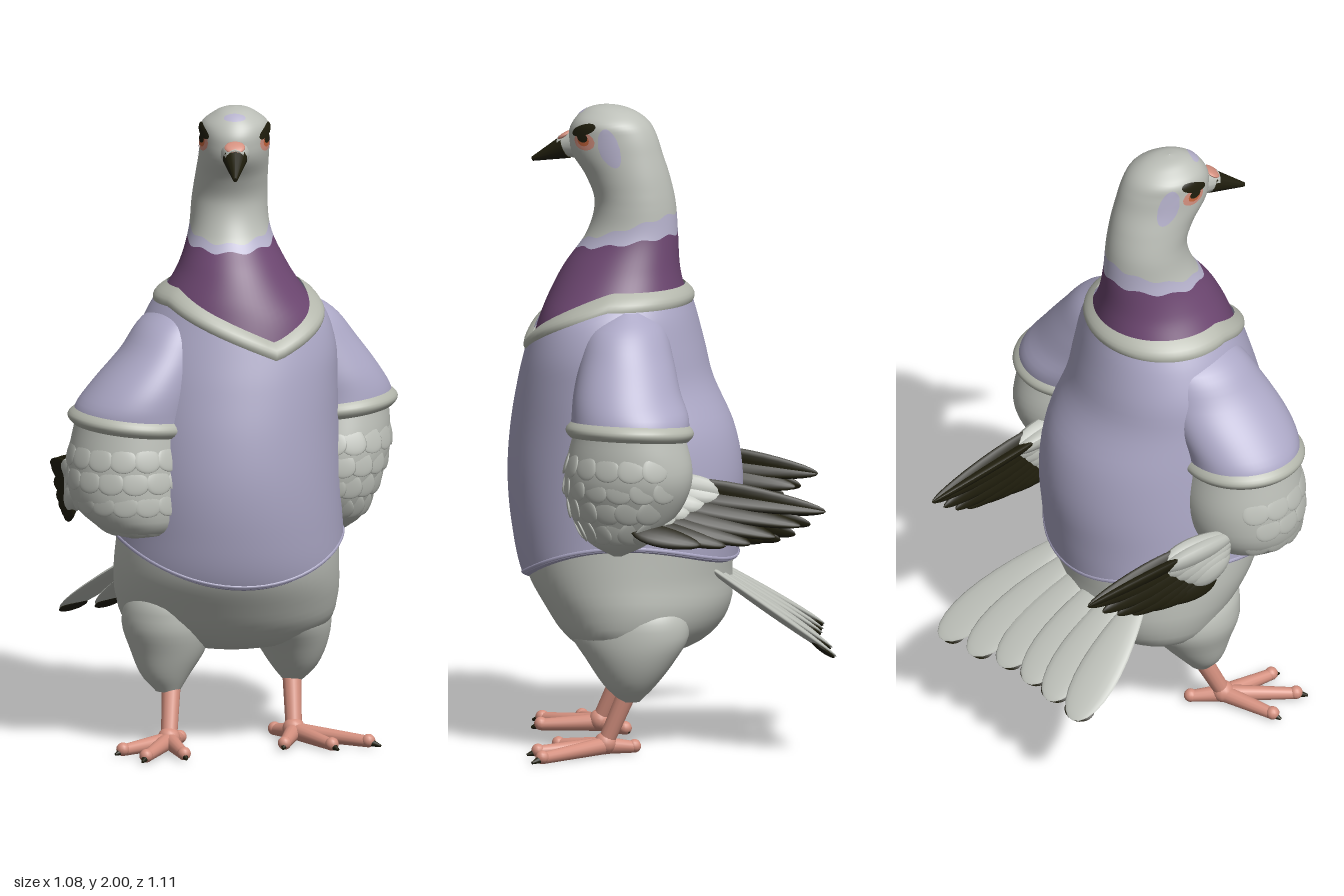
import * as THREE from 'three';

const mat = (name, color, side = THREE.FrontSide) => {
  const m = new THREE.MeshStandardMaterial({ color, side });
  m.name = name;
  return m;
};
const GREY = mat('pale grey feathers', 0xbcbfb8);
const SHIRT = mat('lavender cloth', 0xaca8c6, THREE.DoubleSide);
const TRIM = mat('grey trim', 0xb3b6ab, THREE.DoubleSide);
const PURPLE = mat('purple neck', 0x6c4670);
const BAND = mat('lavender feathers', 0xb5b1cb);
const DARK = mat('dark feathers', 0x201e0d);
const PINK = mat('pink skin', 0xd4907f);
const EYE = mat('orange eye', 0xc8653c);

const V = (a) => new THREE.Vector3(...a);
const mix = (a, b, t) => a.map((v, i) => v + (b[i] - v) * t);
const named = (o, name) => { o.name = name; return o; };
const at = (y) => () => y;

// Smooth surface through level rings [y, xMin, xMax, zMin, zMax]; angle 0 is +z
function surface(rings) {
  const slope = (i, k) => {
    const a = rings[Math.max(i - 1, 0)], b = rings[Math.min(i + 1, rings.length - 1)];
    return (b[k] - a[k]) / (b[0] - a[0]);
  };
  return (ang, y, off = 0) => {
    let i = 0;
    while (i < rings.length - 2 && y > rings[i + 1][0]) i++;
    const a = rings[i], b = rings[i + 1], h = b[0] - a[0];
    const t = THREE.MathUtils.clamp((y - a[0]) / h, 0, 1);
    const [x0, x1, z0, z1] = [1, 2, 3, 4].map((k) => {
      const v = (2 * t ** 3 - 3 * t * t + 1) * a[k] + (t ** 3 - 2 * t * t + t) * h * slope(i, k)
        + (3 * t * t - 2 * t ** 3) * b[k] + (t ** 3 - t * t) * h * slope(i + 1, k);
      return THREE.MathUtils.clamp(v, Math.min(a[k], b[k]), Math.max(a[k], b[k]));
    });
    return [(x0 + x1) / 2 + ((x1 - x0) / 2 + off) * Math.sin(ang), y,
      (z0 + z1) / 2 + ((z1 - z0) / 2 + off) * Math.cos(ang)];
  };
}

// Piece of a surface between two height functions, full circle unless a range is given
function panel(name, material, surf, lo, hi, off = () => 0, rows = 24, range = null) {
  const n = range ? 20 : 72, cols = range ? n + 1 : n, pos = [], idx = [];
  const [a0, a1] = range ?? [-Math.PI, Math.PI];
  for (let j = 0; j <= rows; j++) for (let i = 0; i < cols; i++) {
    const ang = a0 + (a1 - a0) * i / n, t = (1 - Math.cos(Math.PI * j / rows)) / 2;
    pos.push(...surf(ang, lo(ang) + (hi(ang) - lo(ang)) * t, off(t)));
  }
  for (let j = 0; j < rows; j++) for (let i = 0; i < n; i++) {
    const a = j * cols + i, b = j * cols + (i + 1) % cols;
    idx.push(a, b, b + cols, a, b + cols, a + cols);
  }
  const g = new THREE.BufferGeometry();
  g.setAttribute('position', new THREE.Float32BufferAttribute(pos, 3));
  g.setIndex(idx);
  g.computeVertexNormals();
  return named(new THREE.Mesh(g, material), name);
}
const bulge = (base, height) => (t) => base + height * Math.sin(Math.PI * t);

// Oval patch lying on a surface, optionally tilted
function patch(name, material, surf, ang, y, da, dy, off, tilt = 0) {
  const h = (a) => dy * Math.sqrt(Math.max(0, 1 - ((a - ang) / da) ** 2));
  const mid = (a) => y + tilt * (a - ang);
  return panel(name, material, surf, (a) => mid(a) - h(a), (a) => mid(a) + h(a), at(off), 8, [ang - da, ang + da]);
}

// Tapered round limb between two points
function limb(name, material, a, b, ra, rb) {
  const p = V(a), d = V(b).sub(p);
  const m = new THREE.Mesh(new THREE.CylinderGeometry(rb, ra, d.length(), 14), material);
  m.position.copy(p).addScaledVector(d, 0.5);
  m.quaternion.setFromUnitVectors(new THREE.Vector3(0, 1, 0), d.normalize());
  return named(m, name);
}

// Flat feather; skew above 0 widens it towards the tip
function feather(name, material, a, b, width, thick, across, skew) {
  const g = new THREE.SphereGeometry(1, 16, 14), p = g.attributes.position;
  for (let i = 0; i < p.count; i++) p.setX(i, p.getX(i) * (1 + skew * p.getY(i)));
  const start = V(a), y = V(b).sub(start), len = y.length();
  y.normalize();
  const z = V(across).cross(y).normalize(), x = y.clone().cross(z);
  g.scale(width, len / 2, thick);
  g.computeVertexNormals();
  const m = new THREE.Mesh(g, material);
  m.quaternion.setFromRotationMatrix(new THREE.Matrix4().makeBasis(x, y, z));
  m.position.copy(start.addScaledVector(y, len / 2));
  return named(m, name);
}

export function createModel() {
  const model = named(new THREE.Group(), 'pigeon in shirt');
  const body = surface([
    [0.28, 0.02, 0.05, 0.1, 0.13], [0.305, -0.17, 0.21, -0.03, 0.24], [0.36, -0.29, 0.32, -0.12, 0.32],
    [0.45, -0.33, 0.355, -0.17, 0.39], [0.55, -0.335, 0.36, -0.175, 0.45], [0.7, -0.32, 0.355, -0.19, 0.485],
    [0.85, -0.31, 0.35, -0.2, 0.498], [1.0, -0.295, 0.345, -0.175, 0.487], [1.15, -0.275, 0.34, -0.105, 0.457],
    [1.25, -0.26, 0.335, -0.08, 0.43], [1.35, -0.22, 0.305, -0.058, 0.4], [1.42, -0.18, 0.253, -0.04, 0.375],
    [1.5, -0.135, 0.2, -0.025, 0.335], [1.6, -0.105, 0.15, -0.018, 0.268], [1.7, -0.095, 0.138, -0.01, 0.242],
    [1.78, -0.083, 0.14, 0.005, 0.27], [1.85, -0.072, 0.144, 0.025, 0.315], [1.91, -0.068, 0.145, 0.045, 0.322],
    [1.95, -0.062, 0.14, 0.07, 0.305], [1.98, -0.025, 0.105, 0.11, 0.275], [1.995, 0.005, 0.075, 0.155, 0.24],
    [2.0, 0.039, 0.041, 0.199, 0.201]]);

  // Edges of the shirt and of the neck colours
  const hem = (a) => 0.61 - 0.03 * Math.cos(a - 0.2) - 0.05 * Math.cos(2 * (a - 0.2));
  const collar = (a) => {
    const d = Math.abs(Math.atan2(Math.sin(a - 0.45), Math.cos(a - 0.45)));
    return 1.43 - 0.15 * Math.max(0, 1 - d / 1.4) ** 1.2;
  };
  const neck = (a) => 1.58 - 0.025 * Math.cos(a) + 0.005 * Math.cos(9 * a);
  const nape = (a) => neck(a) + 0.045 - 0.02 * Math.cos(a);
  model.add(
    panel('belly', GREY, body, at(0.28), (a) => hem(a) + 0.05),
    panel('shirt', SHIRT, body, hem, collar, at(0.016), 40),
    panel('shirtHem', SHIRT, body, (a) => hem(a) - 0.006, (a) => hem(a) + 0.02, bulge(0.002, 0.018), 8),
    panel('collar', TRIM, body, (a) => collar(a) - 0.05, (a) => collar(a) + 0.015, bulge(0.006, 0.02), 10),
    panel('purpleNeck', PURPLE, body, (a) => collar(a) - 0.04, neck),
    panel('neckBand', BAND, body, neck, nape, at(0), 8),
    panel('head', GREY, body, nape, at(2.0), at(0), 48));

  // Face
  model.add(
    limb('beakBase', GREY, [0.04, 1.878, 0.26], [0.042, 1.862, 0.355], 0.06, 0.03),
    limb('beak', DARK, [0.042, 1.86, 0.335], [0.044, 1.815, 0.445], 0.038, 0.007),
    feather('cere', PINK, [0.041, 1.91, 0.315], [0.042, 1.882, 0.36], 0.032, 0.009, [1, 0, 0], 0),
    patch('forehead', BAND, body, 0, 1.978, 0.5, 0.01, 0.002));
  for (const s of [-1, 1]) {
    model.add(
      patch('eyeRing', PINK, body, s * 1.12, 1.897, 0.3, 0.028, 0.003),
      patch('iris', EYE, body, s * 1.12, 1.9, 0.17, 0.018, 0.005),
      patch('pupil', DARK, body, s * 1.12, 1.908, 0.15, 0.014, 0.007),
      patch('brow', DARK, body, s * 1.12, 1.932, 0.36, 0.018, 0.006, s * 0.035),
      patch('cheek', BAND, body, s * 1.72, 1.88, 0.24, 0.06, 0.002));
  }

  // Sleeves, cuffs and folded arms; the right arm sits further forward.
  // Each wing has a long top feather and shorter rows falling to two lower edges.
  const arms = {
    left: {
      sleeve: [[1.0, 0.2, 0.52, -0.17, 0.19], [1.08, 0.17, 0.515, -0.165, 0.19], [1.15, 0.14, 0.48, -0.125, 0.195],
        [1.25, 0.1, 0.41, -0.08, 0.195], [1.34, 0.08, 0.34, -0.035, 0.18], [1.39, 0.14, 0.26, 0.02, 0.11]],
      arm: [[0.65, 0.35, 0.38, 0.03, 0.06], [0.69, 0.28, 0.43, -0.05, 0.14], [0.78, 0.23, 0.475, -0.14, 0.2],
        [0.9, 0.2, 0.515, -0.19, 0.215], [1.05, 0.21, 0.51, -0.16, 0.18]],
      top: [[0.28, 0.86, -0.06], [0.125, 0.785, -0.55]],
      low: [[[0.43, 0.755, -0.02], [0.37, 0.7, -0.23]], [[0.26, 0.75, -0.08], [0.2, 0.7, -0.33]]],
      face: 1.1, out: 1,
    },
    right: {
      sleeve: [[1.0, -0.455, -0.1, 0.15, 0.495], [1.08, -0.45, -0.09, 0.145, 0.495], [1.15, -0.4, -0.07, 0.125, 0.475],
        [1.25, -0.31, -0.04, 0.1, 0.42], [1.34, -0.245, -0.03, 0.09, 0.36], [1.39, -0.16, -0.07, 0.16, 0.29]],
      arm: [[0.67, -0.28, -0.25, 0.32, 0.35], [0.7, -0.36, -0.14, 0.24, 0.46], [0.78, -0.455, -0.095, 0.16, 0.505],
        [0.9, -0.475, -0.09, 0.13, 0.51], [1.05, -0.45, -0.105, 0.15, 0.49]],
      top: [[-0.435, 0.83, 0.15], [-0.53, 0.78, -0.28]],
      low: [[[-0.36, 0.74, 0.19], [-0.34, 0.7, 0.02]], [[-0.455, 0.74, 0.17], [-0.485, 0.695, -0.02]]],
      face: -0.5, out: -1,
    },
  };
  for (const [side, p] of Object.entries(arms)) {
    const g = named(new THREE.Group(), side + 'Arm');
    const sleeve = surface(p.sleeve), arm = surface(p.arm);
    const cuff = (y) => (a) => y + 0.018 * p.out * Math.sin(a);
    g.add(panel('sleeve', SHIRT, sleeve, cuff(1.03), at(1.39), at(0.004)),
      panel('cuff', TRIM, sleeve, cuff(1.015), cuff(1.063), bulge(0.004, 0.016), 10),
      panel('forearm', GREY, arm, at(p.arm[0][0]), at(1.05)));
    // Overlapping scale feathers on the forearm
    for (let r = 0; r < 4; r++) for (let i = -3; i <= 3; i++) {
      const a = p.face + (i + (r % 2) / 2) * 0.4, y = 0.99 - r * 0.07;
      g.add(feather('scale', GREY, arm(a, y, -0.008), arm(a, y - 0.085, 0.004), 0.042, 0.007,
        [Math.cos(a), 0, -Math.sin(a)], 0.2));
    }
    // Dark flight feathers with pale coverts at their root
    for (const [root, tip] of p.low) {
      const across = [root[0] - p.top[0][0], root[1] - p.top[0][1], 0];
      for (let i = 0; i < 6; i++) {
        const a = mix(p.top[0], root, i / 5), b = mix(p.top[1], tip, i / 5);
        b[1] -= 0.04 * Math.sin(Math.PI * i / 5);
        g.add(feather('flightFeather', DARK, a, b, 0.048, 0.018, across, -0.3));
        if (i < 4) g.add(feather('covert', GREY, mix(a, b, -0.2), mix(a, b, 0.4 - i * 0.02), 0.055, 0.036, across, 0.2));
      }
    }
    model.add(g);
  }

  // Tail fan of shingled feathers, dark under the tips
  const tips = [[0.045, 0.32, -0.555], [-0.07, 0.325, -0.5], [-0.165, 0.33, -0.435], [-0.275, 0.33, -0.39],
    [-0.375, 0.325, -0.355], [-0.49, 0.32, -0.315]];
  const tail = named(new THREE.Group(), 'tail');
  tips.forEach((tip, i) => {
    const root = mix([0.06, 0.6, -0.1], [-0.24, 0.57, 0.02], i / 5);
    const across = [0.85, 0.17, -0.4], low = (q) => [q[0], q[1] - 0.008, q[2]];
    tail.add(feather('tailFeather', GREY, root, tip, 0.066, 0.014, across, 0.4),
      feather('tailBand', DARK, low(mix(root, tip, 0.82)), low(mix(root, tip, 0.985)), 0.05, 0.009, across, 0));
  });
  model.add(tail);

  // Thighs, shanks and toes
  const legs = {
    left: {
      thigh: [[0.17, 0.19, 0.24, 0.03, 0.09], [0.22, 0.15, 0.29, -0.02, 0.14], [0.3, 0.1, 0.325, -0.08, 0.2],
        [0.38, 0.06, 0.335, -0.12, 0.26], [0.46, 0.08, 0.32, -0.1, 0.26], [0.54, 0.14, 0.26, 0.0, 0.2]],
      knee: [0.212, 0.22, 0.06], ankle: [0.22, 0.035, 0.14],
      toes: [[0.49, 0.015, 0.28], [0.36, 0.015, 0.345], [0.19, 0.015, 0.33], [0.15, 0.015, 0.055]],
    },
    right: {
      thigh: [[0.17, -0.205, -0.13, 0.19, 0.26], [0.22, -0.25, -0.1, 0.15, 0.29], [0.3, -0.285, -0.05, 0.08, 0.32],
        [0.38, -0.31, -0.03, 0.03, 0.345], [0.46, -0.29, -0.05, 0.05, 0.34], [0.54, -0.22, -0.1, 0.12, 0.28]],
      knee: [-0.155, 0.22, 0.21], ankle: [-0.162, 0.035, 0.3],
      toes: [[-0.24, 0.015, 0.55], [-0.105, 0.015, 0.505], [-0.325, 0.015, 0.43], [-0.125, 0.015, 0.19]],
    },
  };
  for (const [side, p] of Object.entries(legs)) {
    const g = named(new THREE.Group(), side + 'Leg');
    g.add(panel('thigh', GREY, surface(p.thigh), at(0.17), at(0.54)),
      limb('shank', PINK, p.knee, p.ankle, 0.03, 0.025));
    const ball = (name, r, x, y, z) => {
      const m = new THREE.Mesh(new THREE.SphereGeometry(r, 14, 10), PINK);
      m.position.set(x, y, z);
      g.add(named(m, name));
    };
    ball('ankle', 0.035, ...p.ankle);
    for (const tip of p.toes) {
      const end = mix(p.ankle, tip, 0.86);
      g.add(limb('toe', PINK, [p.ankle[0], 0.028, p.ankle[2]], end, 0.027, 0.018),
        limb('claw', DARK, mix(p.ankle, tip, 0.85), [tip[0], 0.008, tip[2]], 0.015, 0.004));
      ball('toePad', 0.021, end[0], 0.021, end[2]);
    }
    model.add(g);
  }
  return model;
}
